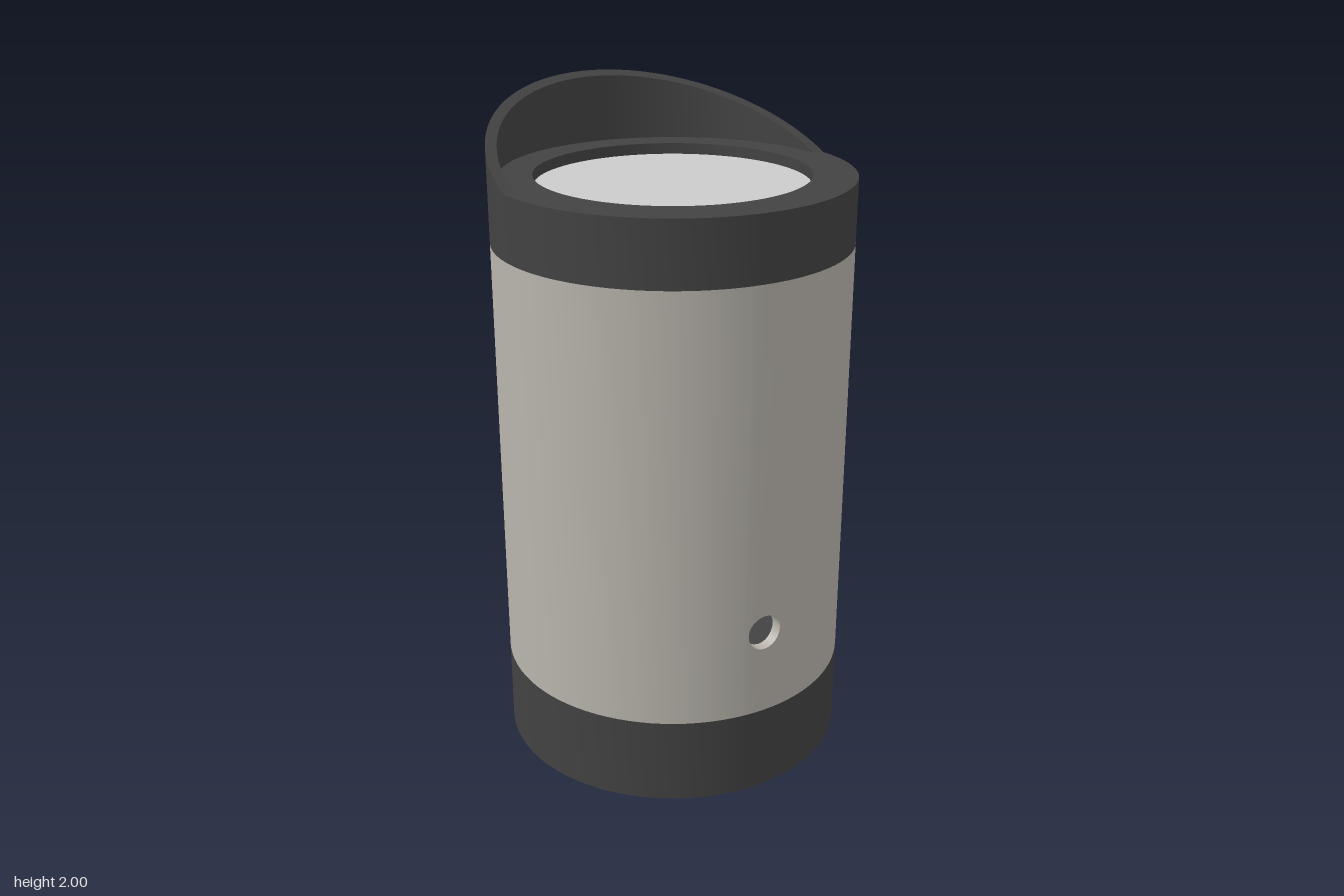
import * as THREE from 'three';
import { toCreasedNormals, mergeGeometries } from 'three/addons/utils/BufferGeometryUtils.js';

const R = 0.485, WALL = 0.03, SEG = 96;
const RIM = 1.805, BODY_LOW = 0.415, BODY_HIGH = 1.63;

const dark = new THREE.MeshStandardMaterial({ color: 0x424242 });
const metal = new THREE.MeshStandardMaterial({ color: 0xb8b4ac });
const glass = new THREE.MeshStandardMaterial({ color: 0xcccccc });

// Revolve [radius, y] points, listed upwards on the outside
function revolve(points, start = 0, sweep = Math.PI * 2) {
  const profile = points.map(([r, y]) => new THREE.Vector2(r, y));
  const segments = Math.round(SEG * sweep / (Math.PI * 2));
  return toCreasedNormals(new THREE.LatheGeometry(profile, segments, start, sweep), 0.6);
}

// Narrow full-height wall panel with a round hole, bent around the axis
function holedPanel(halfAngle) {
  const w = halfAngle * R, steps = 6;
  const edge = (y, dir) => Array.from({ length: steps + 1 }, (_, i) =>
    new THREE.Vector2(dir * w * (2 * i / steps - 1), y));
  const shape = new THREE.Shape([...edge(BODY_LOW, 1), ...edge(BODY_HIGH, -1)]);
  shape.holes.push(new THREE.Path().absarc(0, 0.66, 0.05, 0, Math.PI * 2, true));
  const geo = new THREE.ExtrudeGeometry(shape, { depth: WALL, bevelEnabled: false, curveSegments: 24 });
  const pos = geo.attributes.position, nor = geo.attributes.normal;
  const up = new THREE.Vector3(0, 1, 0), n = new THREE.Vector3();
  for (let i = 0; i < pos.count; i++) {
    const a = pos.getX(i) / R, r = R - WALL + pos.getZ(i);
    pos.setXYZ(i, r * Math.sin(a), pos.getY(i), r * Math.cos(a));
    n.fromBufferAttribute(nor, i).applyAxisAngle(up, a);
    nor.setXYZ(i, n.x, n.y, n.z);
  }
  return geo;
}

// Hollow tube wall with a hole at the front and the back
function bodyGeometry() {
  const half = 0.12, parts = [];
  const section = [[R - WALL, BODY_LOW], [R, BODY_LOW], [R, BODY_HIGH], [R - WALL, BODY_HIGH], [R - WALL, BODY_LOW]];
  for (const turn of [0, Math.PI]) {
    parts.push(holedPanel(half).rotateY(turn));
    parts.push(revolve(section, turn + half, Math.PI - 2 * half));
  }
  return mergeGeometries(parts);
}

// Half-ring shield whose top edge slopes up towards the back
function hoodGeometry() {
  const shape = new THREE.Shape();
  shape.absarc(0, 0, R, 0, Math.PI, false);
  shape.absarc(0, 0, R - WALL, Math.PI, 0, true);
  const geo = new THREE.ExtrudeGeometry(shape, { depth: 1, bevelEnabled: false, curveSegments: SEG / 2 });
  geo.rotateX(-Math.PI / 2);
  const pos = geo.attributes.position;
  for (let i = 0; i < pos.count; i++) {
    const rise = Math.max(0, -pos.getZ(i)) / R * (2 - RIM);
    pos.setY(i, RIM + (pos.getY(i) > 0.5 ? rise : 0));
  }
  return toCreasedNormals(geo, 0.6);
}

export function createModel() {
  const model = new THREE.Group();
  const add = (name, geometry, material, y = 0) => {
    const mesh = new THREE.Mesh(geometry, material);
    mesh.name = name;
    mesh.position.y = y;
    model.add(mesh);
    return mesh;
  };

  // Threaded stub and hexagonal nut, corners on the x axis
  add('mountStub', new THREE.CylinderGeometry(0.2, 0.2, 0.1, 64), dark, 0.05);
  const nut = new THREE.CylinderGeometry(0.24, 0.24, 0.07, 6).toNonIndexed();
  nut.rotateY(Math.PI / 6);
  nut.computeVertexNormals();
  add('hexNut', nut, dark, 0.135);

  // Base, hollow body and upper ring
  add('baseCap', revolve([[0, 0.17], [R, 0.17], [R, BODY_LOW], [0, BODY_LOW]]), dark);
  add('body', bodyGeometry(), metal);
  add('topRing', revolve([[0.367, BODY_HIGH], [R, BODY_HIGH], [R, RIM], [0.367, RIM], [0.367, BODY_HIGH]]), dark);

  // Recessed lens and slanted glare shield
  add('lens', new THREE.CylinderGeometry(0.367, 0.367, 0.03, SEG), glass, 1.76);
  add('glareShield', hoodGeometry(), dark);
  return model;
}
